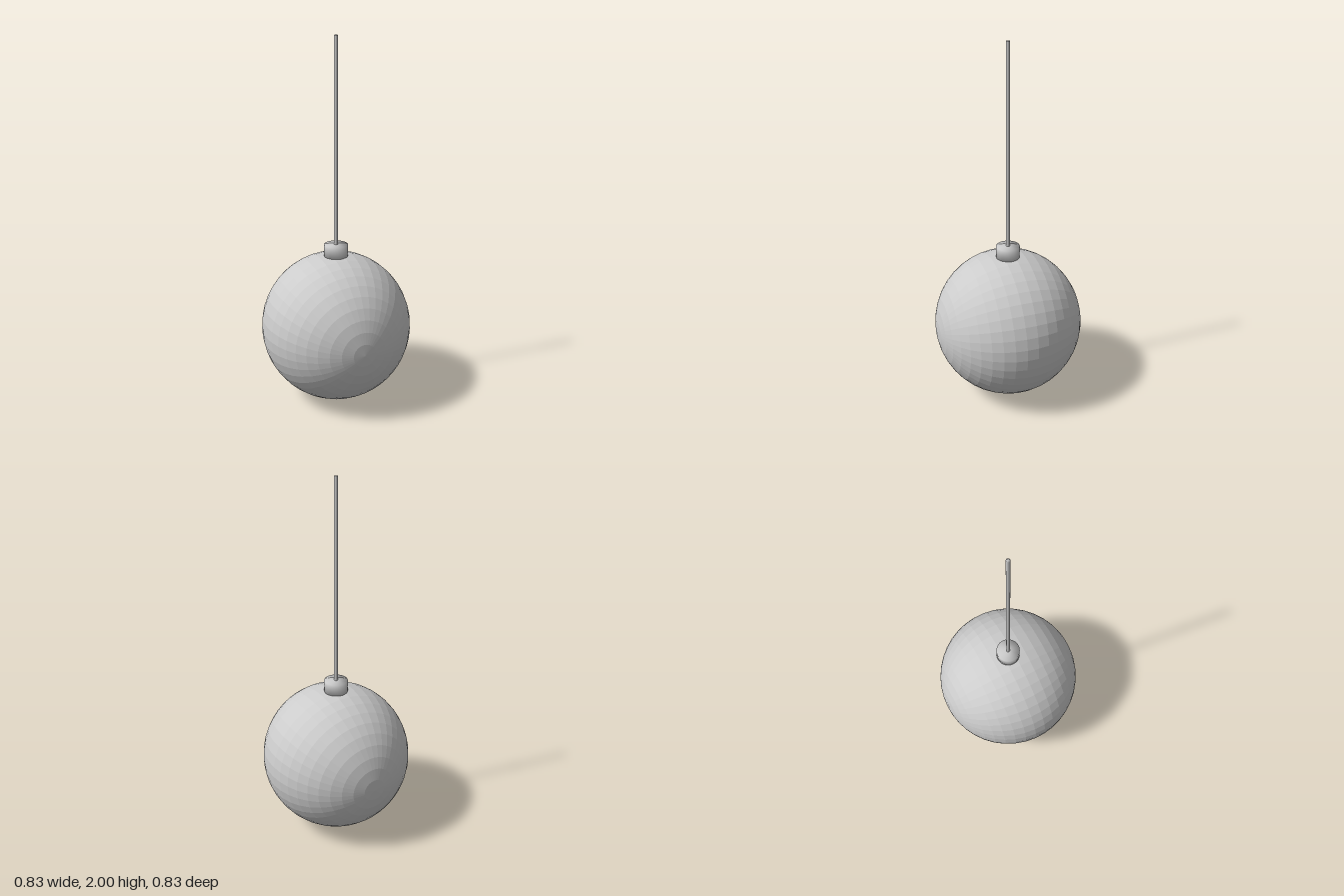
import * as THREE from 'three';
import { mergeVertices } from 'three/addons/utils/BufferGeometryUtils.js';

// Closed cylinder standing from y0 to y1, shaded softly across its rims
function softCylinder(radius, y0, y1, sides) {
  let geometry = new THREE.CylinderGeometry(radius, radius, y1 - y0, sides);
  geometry.deleteAttribute('normal');
  geometry.deleteAttribute('uv');
  geometry = mergeVertices(geometry);
  geometry.computeVertexNormals();
  return geometry.translate(0, (y0 + y1) / 2, 0);
}

export function createModel() {
  const group = new THREE.Group();
  group.name = 'pendantLamp';
  const smooth = new THREE.MeshStandardMaterial({ color: 0xcccccc });
  const faceted = new THREE.MeshStandardMaterial({ color: 0xcccccc, flatShading: true });

  function add(name, geometry, material) {
    const mesh = new THREE.Mesh(geometry, material);
    mesh.name = name;
    group.add(mesh);
  }

  // Faceted globe with its poles facing front and back
  const radius = 0.417;
  const globe = new THREE.SphereGeometry(radius, 42, 21);
  globe.rotateX(Math.PI / 2).translate(0, radius, 0);
  add('globeShade', globe, faceted);

  // Collar on top of the globe and the rod it hangs from
  add('collar', softCylinder(0.065, 0.825, 0.893, 48), smooth);
  add('hangingRod', softCylinder(0.01, 0.88, 2, 24), smooth);

  return group;
}
